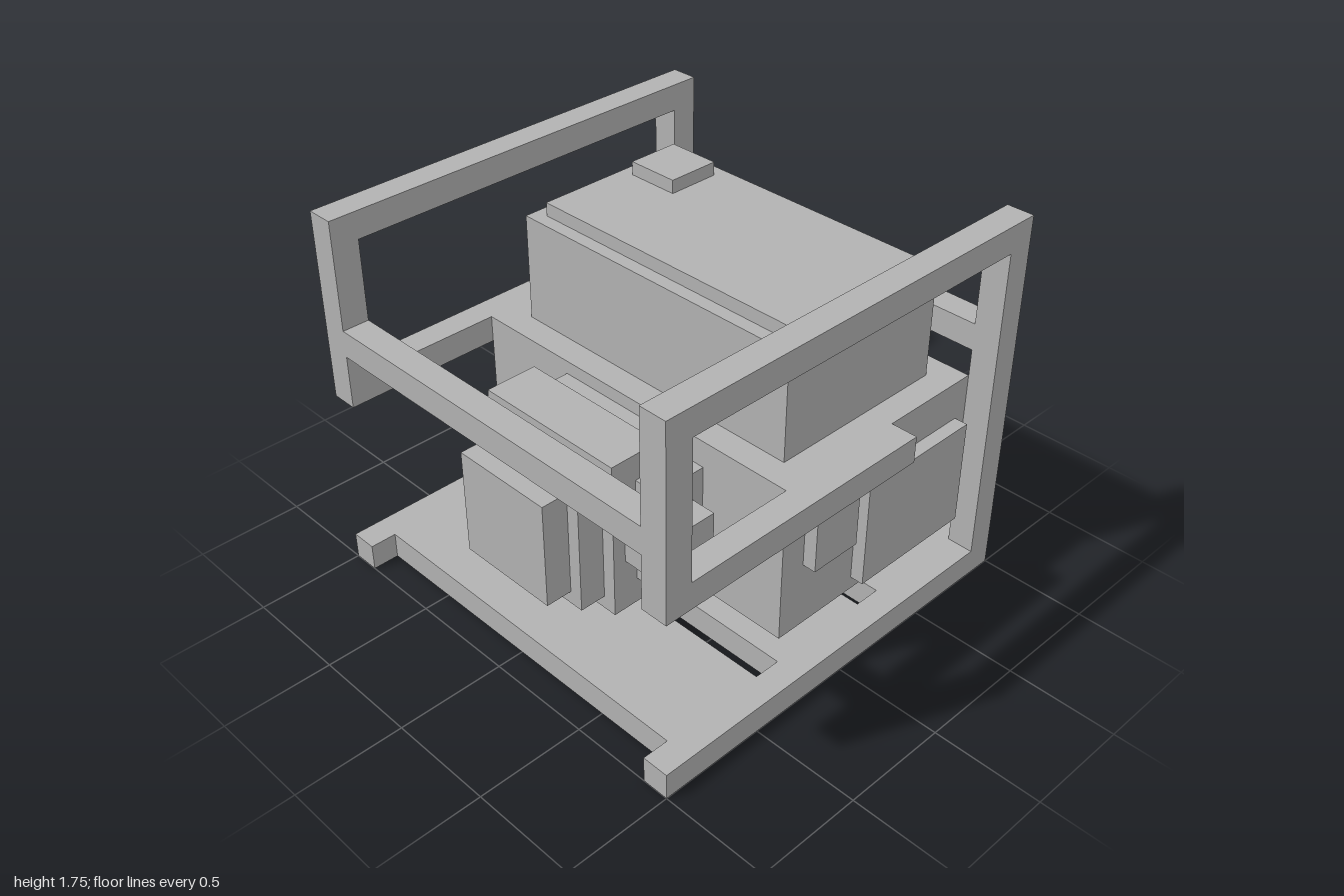
import * as THREE from 'three';

export function createModel() {
  const model = new THREE.Group();
  const grey = new THREE.MeshStandardMaterial({ color: 0xb2b2b2 });
  grey.name = 'grey';

  // Box given by its [min, max] extents on each axis
  function box(name, [x0, x1], [y0, y1], [z0, z1], parent = model) {
    const mesh = new THREE.Mesh(new THREE.BoxGeometry(x1 - x0, y1 - y0, z1 - z0), grey);
    mesh.position.set((x0 + x1) / 2, (y0 + y1) / 2, (z0 + z1) / 2);
    mesh.name = name;
    parent.add(mesh);
  }

  // Side frames, one on each side
  for (const side of [1, -1]) {
    const frame = new THREE.Group();
    frame.name = side > 0 ? 'leftFrame' : 'rightFrame';
    const x = side > 0 ? [0.875, 1] : [-1, -0.875];
    box('bottomRail', x, [0, 0.125], [-1, 1], frame);
    box('topRail', x, [1.625, 1.75], [-1, 1], frame);
    box('backPost', x, [0.125, 1.625], [-1, -0.875], frame);
    box('frontPost', x, [1, 1.625], [0.875, 1], frame);
    box('armRail', x, [0.875, 1], [-0.375, 1], frame);
    model.add(frame);
  }

  // Cross bars between the frames
  const inner = [-0.875, 0.875];
  box('frontCrossBar', inner, [1.125, 1.25], [0.875, 1]);
  box('upperBackBar', inner, [1.125, 1.25], [-1, -0.875]);
  box('lowerBackBar', inner, [0.5, 0.625], [-1, -0.875]);

  // Base plate boards, separated by two slots
  for (const z of [[-1, -0.375], [-0.25, 0.25], [0.375, 0.875]]) {
    box('baseBoard', inner, [0, 0.125], z);
  }

  // Generator housing with side panels
  box('housing', inner, [0.25, 1], [-0.875, 0.25]);
  box('smallSidePanel', [0.875, 0.9375], [0.5625, 0.8125], [-0.125, 0.125]);
  box('largeSidePanel', [0.875, 0.9375], [0.3125, 0.8125], [-0.8125, -0.1875]);

  // Fuel tank
  box('tank', [-0.75, 0.75], [1, 1.5], [-0.75, 0.125]);
  box('tankLid', [-0.6875, 0.6875], [1.5, 1.5625], [-0.6875, 0.0625]);
  box('fuelCap', [-0.625, -0.375], [1.5625, 1.625], [-0.625, -0.375]);

  // Engine stepping out toward the front
  box('engineNeck', [-0.375, 0.25], [0.3125, 0.9375], [0.25, 0.375]);
  box('engineBlock', [-0.4375, 0.3125], [0.25, 1], [0.375, 0.625]);
  box('engineCover', [-0.375, 0.25], [0.3125, 0.9375], [0.625, 0.75]);
  box('starterCover', [-0.3125, 0.1875], [0.375, 0.875], [0.75, 0.875]);
  box('carburetor', [0.25, 0.4375], [0.375, 0.875], [0.25, 0.5]);
  box('airFilter', [0.3125, 0.5625], [0.5, 0.75], [0.3125, 0.5625]);

  return model;
}
